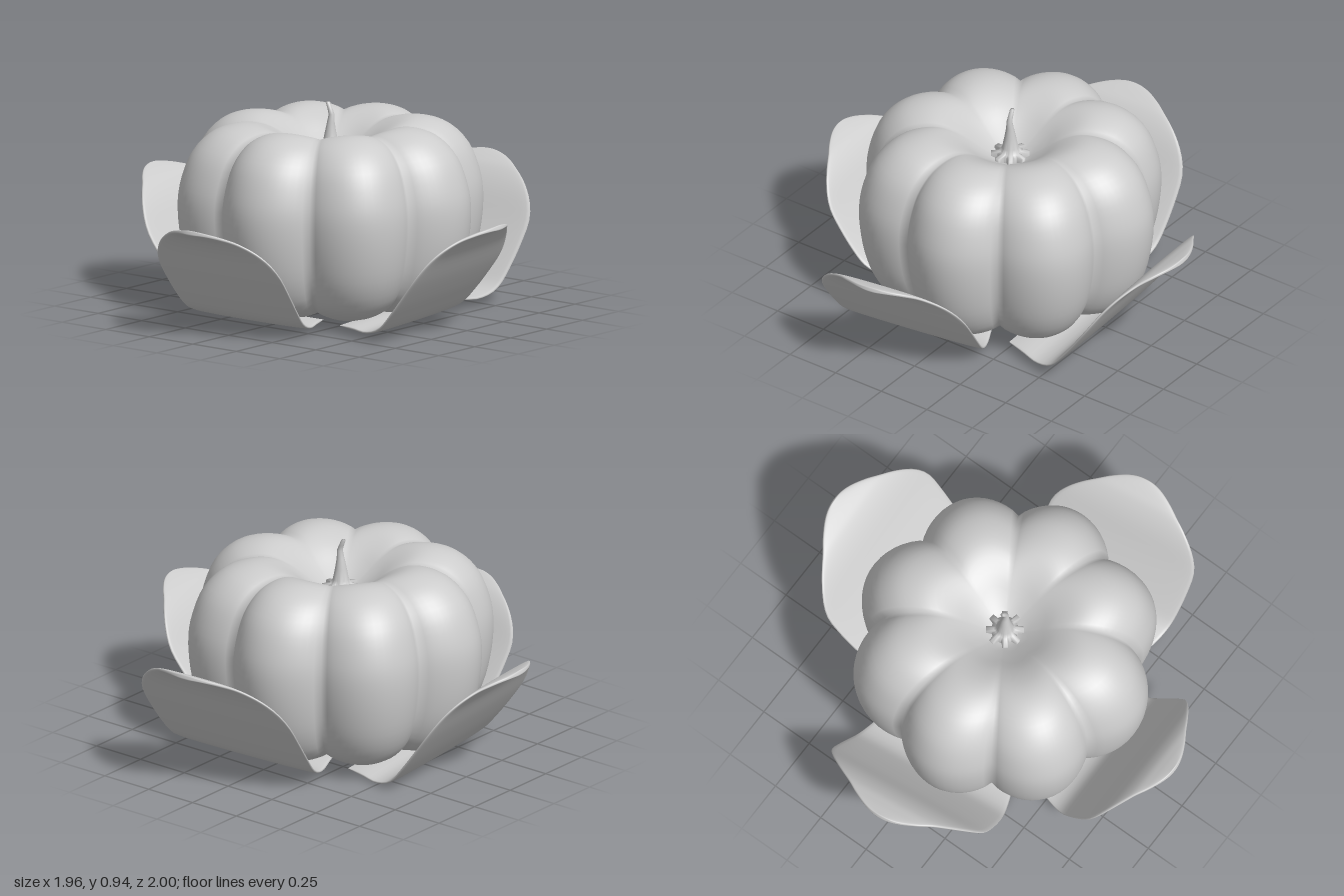
import * as THREE from 'three';

const grey = new THREE.MeshStandardMaterial({ color: 0xcccccc });
grey.name = 'plain grey';

// Skin a series of closed loops (arrays of [x, y, z]) into a smooth surface.
function loft(rows) {
  const n = rows[0].length;
  const index = [];
  for (let i = 0; i < rows.length - 1; i++) {
    for (let j = 0; j < n; j++) {
      const a = i * n + j, c = i * n + (j + 1) % n;
      index.push(a, a + n, c, a + n, c + n, c);
    }
  }
  const geometry = new THREE.BufferGeometry();
  geometry.setAttribute('position', new THREE.Float32BufferAttribute(rows.flat(2), 3));
  geometry.setIndex(index);
  geometry.computeVertexNormals();
  return geometry;
}

function part(name, geometry) {
  const mesh = new THREE.Mesh(geometry, grey);
  mesh.name = name;
  return mesh;
}

const spline = (pts) => new THREE.SplineCurve(pts.map(([x, y]) => new THREE.Vector2(x, y)));

// Eight-lobed body with a dimple above and below.
function bodyGeometry() {
  const profile = spline([
    [0, 0.21], [0.07, 0.18], [0.17, 0.1], [0.3, 0.035], [0.43, 0.035], [0.56, 0.09],
    [0.635, 0.2], [0.675, 0.34], [0.69, 0.49], [0.675, 0.61], [0.625, 0.735], [0.54, 0.82],
    [0.44, 0.857], [0.34, 0.857], [0.24, 0.815], [0.15, 0.75], [0.07, 0.7], [0, 0.69],
  ]);
  const start = THREE.MathUtils.degToRad(-8);
  const rows = [];
  for (let i = 0; i <= 56; i++) {
    const p = profile.getPoint(i / 56);
    const row = [];
    for (let j = 0; j < 128; j++) {
      const a = (j / 128) * Math.PI * 2;
      const groove = 1 - Math.pow(Math.abs(Math.cos(4 * a)), 0.85);
      const r = Math.max(p.x, 0) * (1 - 0.145 * groove);
      const y = 0.45 + (p.y - 0.45) * (1 - 0.07 * groove * Math.min(1, p.x / 0.2));
      row.push([r * Math.cos(a + start), y, r * Math.sin(a + start)]);
    }
    rows.push(row);
  }
  return loft(rows);
}

// Tapered, bent stem flaring into a toothed collar.
function stemGeometry() {
  const sections = [ // y, radius, z shift, tooth depth
    [0.69, 0.085, 0, 0.025], [0.722, 0.085, 0, 0.025], [0.728, 0.05, 0, 0.006],
    [0.75, 0.036, 0, 0], [0.8, 0.026, 0, 0], [0.85, 0.017, 0.002, 0],
    [0.885, 0.013, 0.006, 0], [0.91, 0.011, -0.003, 0], [0.938, 0.01, -0.015, 0], [0.94, 0, -0.015, 0],
  ];
  return loft(sections.map(([y, radius, z, tooth]) => {
    const row = [];
    for (let j = 0; j < 64; j++) {
      const a = (j / 64) * Math.PI * 2;
      const r = radius - (j % 8 < 4 ? 0 : tooth);
      row.push([r * Math.cos(a), y, z + r * Math.sin(a)]);
    }
    return row;
  }));
}

// Leaf lying flat under the body, then sweeping up and out to a rounded tip.
function leafGeometry(halfWidth, reach, height) {
  const profile = spline([
    [-0.42, 0.015], [-0.33, 0.015], [-0.25, 0.012], [-0.17, 0.04], [-0.1, 0.115],
    [0, 0.25], [0.08, 0.37], [0.14, 0.435], [0.19, 0.465], [0.24, 0.485],
  ]);
  const steps = 48, rows = [];
  const sx = reach / 0.24, sy = height / 0.485;
  for (let i = 0; i <= steps; i++) {
    const t = 1 - Math.pow(1 - i / steps, 2);
    const p = profile.getPoint(t);
    const k = profile.getTangent(t);
    const along = (p.y - 0.25) / 0.235;
    const wide = p.y > 0.25 && p.x > 0
      ? Math.sqrt(Math.max(0, 1 - along * along))
      : 0.72 + 0.28 * Math.sin(Math.min(1, (p.x + 0.42) / 0.42) * Math.PI / 2);
    const thick = 0.011 * Math.min(1, i / 1.5, Math.sqrt((steps - i) / 5));
    const row = [];
    for (let j = 0; j < 40; j++) {
      const a = (j / 40) * Math.PI * 2;
      const s = Math.sin(a);
      const h = thick * Math.sign(s) * Math.pow(Math.abs(s), 0.5);
      row.push([-Math.cos(a) * wide * halfWidth, p.y * sy + k.x * h, p.x * sx - k.y * h]);
    }
    rows.push(row);
  }
  return loft(rows);
}

export function createModel() {
  const model = new THREE.Group();
  model.name = 'pumpkin with leaves';

  const body = part('body', bodyGeometry());
  const stem = part('stem', stemGeometry());
  body.position.x = stem.position.x = -0.03;
  body.position.z = stem.position.z = -0.01;
  model.add(body, stem);

  // name, half width, reach, height, x, y, z, turn
  const leaves = [
    ['frontLeaf', 0.365, 0.245, 0.485, -0.1, 0.025, 0.75, 0.138],
    ['backLeaf', 0.395, 0.265, 0.54, -0.05, 0, -0.735, Math.PI + 0.11],
    ['leftLeaf', 0.41, 0.265, 0.55, 0.71, 0.025, 0.08, Math.PI / 2 + 0.05],
    ['rightLeaf', 0.355, 0.225, 0.47, -0.755, 0.025, -0.03, -Math.PI / 2],
  ];
  for (const [name, halfWidth, reach, height, x, y, z, turn] of leaves) {
    const leaf = part(name, leafGeometry(halfWidth, reach, height));
    leaf.position.set(x, y, z);
    leaf.rotation.y = turn;
    model.add(leaf);
  }
  return model;
}
